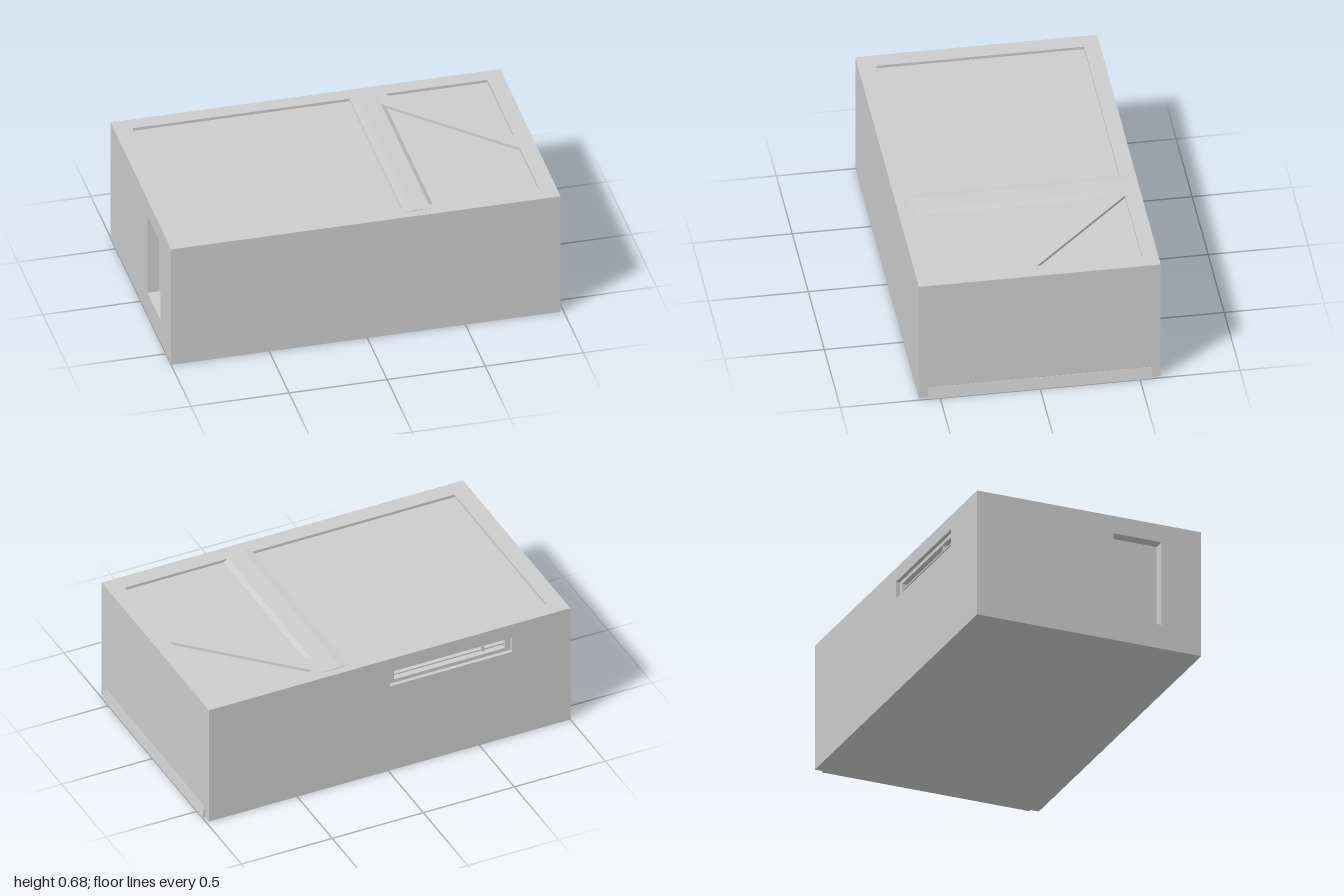
import * as THREE from 'three';

const material = new THREE.MeshStandardMaterial({ color: 0xcccccc, flatShading: true });

const rect = (x0, y0, x1, y1) => [[x0, y0], [x1, y0], [x1, y1], [x0, y1]];

// Extrude a polygon (with optional polygon holes) along +z
function plate(outline, holes, depth) {
  const toPoints = pts => pts.map(([x, y]) => new THREE.Vector2(x, y));
  const shape = new THREE.Shape(toPoints(outline));
  holes.forEach(h => shape.holes.push(new THREE.Path(toPoints(h))));
  return new THREE.ExtrudeGeometry(shape, { depth, bevelEnabled: false });
}

// Box given by its two extreme corners
function block(x0, y0, z0, x1, y1, z1) {
  return new THREE.BoxGeometry(x1 - x0, y1 - y0, z1 - z0)
    .translate((x0 + x1) / 2, (y0 + y1) / 2, (z0 + z1) / 2);
}

export function createModel() {
  const model = new THREE.Group();
  const add = (name, geometry) => {
    const mesh = new THREE.Mesh(geometry, material);
    mesh.name = name;
    model.add(mesh);
  };

  const L = -1, R = 0.985, D = 0.605, H = 0.675;
  const floorY = 0.66;      // floor of the lid recesses
  const leftInner = -0.94;  // floor of the window recess
  const lipZ = -0.585, slotZ = -0.55; // stepped floors of the rear slot

  // Solid core
  add('core', block(leftInner, 0, slotZ, R, floorY, D));

  // Left wall with the recessed window
  add('leftWall', plate(rect(slotZ, 0, D, floorY), [rect(0.13, 0.13, 0.39, 0.58)], leftInner - L)
    .rotateY(-Math.PI / 2).translate(leftInner, 0, 0));

  // Rear wall in two layers: wide lip, then narrower slot
  const rear = rect(L, 0, R, floorY);
  add('rearWallOuter', plate(rear, [rect(-0.68, 0.51, -0.01, 0.6)], lipZ + D).translate(0, 0, -D));
  add('rearWallInner', plate(rear, [rect(-0.65, 0.53, -0.04, 0.58)], slotZ - lipZ).translate(0, 0, lipZ));

  // Slide rail and its small catch inside the rear slot
  add('slotRail', block(-0.65, 0.549, -0.578, -0.04, 0.557, slotZ));
  add('slotCatch', block(-0.54, 0.545, -0.583, -0.525, 0.575, slotZ));

  // Lid frame: one large recess and a triangular one, divided by a diagonal bar
  // (shape y is -z)
  const mainRecess = [[-0.91, 0.525], [0.25, 0.525], [0.9, -0.125], [0.9, -0.515], [-0.91, -0.515]];
  const cornerRecess = [[0.375, 0.525], [0.9, 0.525], [0.9, 0]];
  add('lidFrame', plate(rect(L, -D, R, D), [mainRecess, cornerRecess], H - floorY)
    .rotateX(-Math.PI / 2).translate(0, floorY, 0));

  // Low ridge across the lid
  const ridge = [[0.195, floorY], [0.36, floorY], [0.335, H + 0.0005], [0.242, H + 0.004],
    [0.238, H + 0.004], [0.2, H + 0.0005]];
  add('lidRidge', plate(ridge, [], 1.12).translate(0, 0, -0.562));

  // Thin wedge along the foot of the right side
  add('footWedge', plate([[R, 0], [1, 0], [0.987, 0.06], [R, 0.06]], [], 1.12).translate(0, 0, -0.56));

  return model;
}
